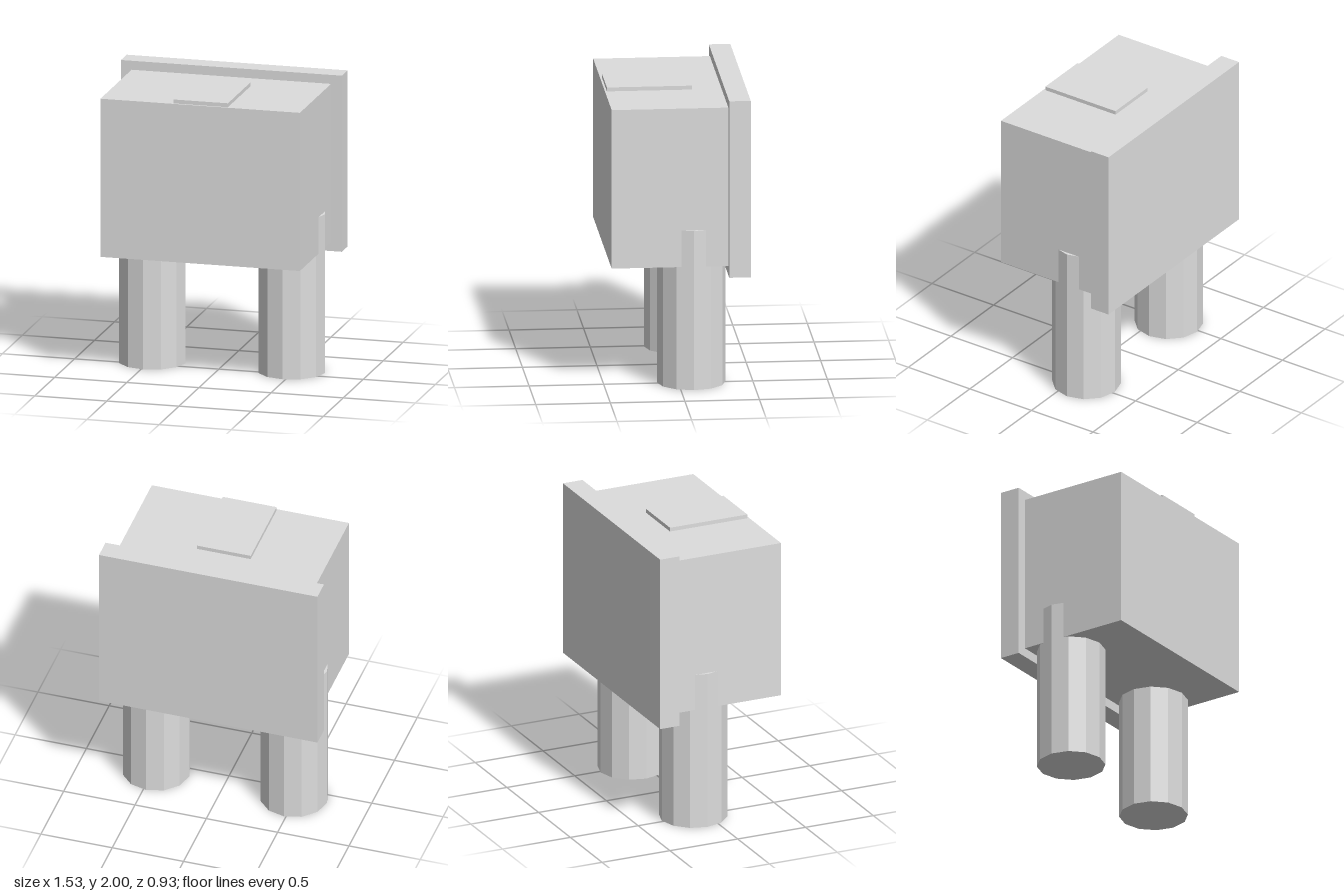
import * as THREE from 'three';

export function createModel() {
  const model = new THREE.Group();
  model.name = 'blockOnLegs';

  const paleGrey = new THREE.MeshStandardMaterial({ color: 0xdddddd });
  paleGrey.name = 'paleGrey';
  paleGrey.flatShading = true;

  // Box given by its extents along each axis
  function box(name, [x0, x1], [y0, y1], [z0, z1]) {
    const mesh = new THREE.Mesh(new THREE.BoxGeometry(x1 - x0, y1 - y0, z1 - z0), paleGrey);
    mesh.name = name;
    mesh.position.set((x0 + x1) / 2, (y0 + y1) / 2, (z0 + z1) / 2);
    model.add(mesh);
  }

  box('body', [-0.693, 0.689], [0.845, 1.938], [-0.319, 0.463]);
  box('backPanel', [-0.767, 0.764], [0.783, 2], [-0.463, -0.319]);
  box('topPad', [-0.19, 0.187], [1.92, 1.965], [-0.12, 0.45]);

  // Twelve-sided legs that reach up into the body and bulge from its sides
  const legGeometry = new THREE.CylinderGeometry(0.23, 0.23, 1.097, 12);
  for (const [name, x] of [['leftLeg', 0.481], ['rightLeg', -0.485]]) {
    const leg = new THREE.Mesh(legGeometry, paleGrey);
    leg.name = name;
    leg.position.set(x, 1.097 / 2, -0.088);
    model.add(leg);
  }

  return model;
}
